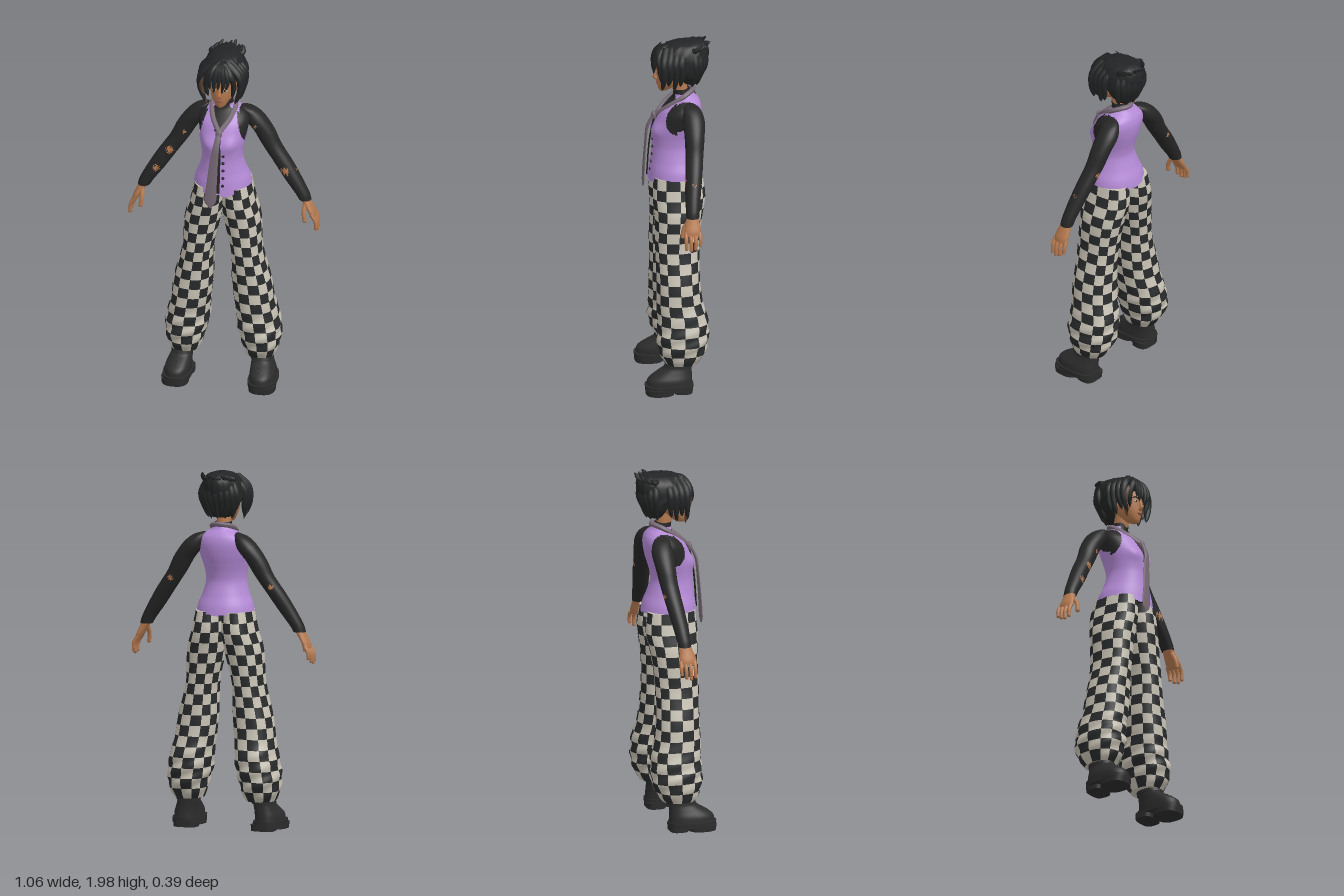
import * as THREE from 'three';

const mat = (name, color, side = THREE.FrontSide) =>
  Object.assign(new THREE.MeshStandardMaterial({ color, side }), { name });
const M = {
  hair: mat('hair black', 0x232425),
  streak: mat('hair brown', 0x5c4538),
  skin: mat('skin', 0xb5794f),
  lips: mat('lips', 0x8a4f42),
  sleeve: mat('shirt black', 0x262626),
  vest: mat('vest lilac', 0xb48ad6, THREE.DoubleSide),
  tie: mat('tie mauve', 0x786a76),
  cream: mat('check cream', 0xc9c3b5),
  check: mat('check black', 0x282a2b),
  boot: mat('boot black', 0x2c2c2d),
};

// Smooth value of a ring [y, x, z, rx, rz] at height y
function ringAt(rings, y) {
  let k = 0;
  while (k < rings.length - 2 && y > rings[k + 1][0]) k++;
  const slope = (i, d) => {
    const a = rings[Math.max(i - 1, 0)], b = rings[Math.min(i + 1, rings.length - 1)];
    return (b[d] - a[d]) / (b[0] - a[0]);
  };
  const a = rings[k], b = rings[k + 1], h = b[0] - a[0], t = (y - a[0]) / h, t2 = t * t, t3 = t2 * t;
  return a.map((_, d) => (2 * t3 - 3 * t2 + 1) * a[d] + (t3 - 2 * t2 + t) * h * slope(k, d)
    + (3 * t2 - 2 * t3) * b[d] + (t3 - t2) * h * slope(k + 1, d));
}

// Skin over horizontal rings; pick(i, j, point) selects a material, or -1 for a gap
function loft(name, rings, mats, { seg = 32, steps = 32, p = 2, pick = () => 0, bulge = () => 1, caps = true } = {}) {
  const pos = [], lists = mats.map(() => []), v = new THREE.Vector3();
  const y0 = rings[0][0], y1 = rings[rings.length - 1][0];
  const point = (i, j) => v.fromArray(pos, (j * seg + i % seg) * 3);
  const pw = (c) => Math.sign(c) * Math.abs(c) ** (2 / p);
  for (let j = 0; j <= steps; j++) {
    const [y, x, z, rx, rz] = ringAt(rings, y0 + (y1 - y0) * j / steps);
    for (let i = 0; i < seg; i++) {
      const t = i / seg * Math.PI * 2, b = bulge(t, y);
      pos.push(x + pw(Math.cos(t)) * rx * b, y, z + pw(Math.sin(t)) * rz * b);
    }
  }
  for (let j = 0; j < steps; j++) for (let i = 0; i < seg; i++) {
    const m = pick(i, j, point(i, j));
    if (m < 0) continue;
    const a = j * seg + i, b = j * seg + (i + 1) % seg, c = a + seg, d = b + seg;
    lists[m].push(a, c, b, b, c, d);
  }
  if (caps) for (const j of [0, steps]) {
    const base = pos.length / 3, r = rings[j ? rings.length - 1 : 0];
    for (let i = 0; i < seg; i++) pos.push(...point(i, j).toArray());
    pos.push(r[1], r[0], r[2]);
    for (let i = 0; i < seg; i++) {
      const a = base + i, b = base + (i + 1) % seg;
      lists[0].push(base + seg, j ? b : a, j ? a : b);
    }
  }
  const g = new THREE.BufferGeometry();
  g.setAttribute('position', new THREE.Float32BufferAttribute(pos, 3));
  g.setIndex(lists.flat());
  let start = 0;
  lists.forEach((l, m) => { g.addGroup(start, l.length, m); start += l.length; });
  g.computeVertexNormals();
  const mesh = new THREE.Mesh(g, mats);
  mesh.name = name;
  return mesh;
}

// Tapering strand along a smooth path
function strand(name, pts, r, material, width = (u) => Math.sqrt(Math.max(0, 1 - u * u)), seg = 14) {
  const curve = new THREE.CatmullRomCurve3(pts.map((q) => new THREE.Vector3(...q)));
  const g = new THREE.TubeGeometry(curve, seg, r, 8), p = g.attributes.position, v = new THREE.Vector3();
  for (let i = 0; i < p.count; i++) {
    const u = Math.floor(i / 9) / seg, c = curve.getPointAt(u);
    v.fromBufferAttribute(p, i).sub(c).multiplyScalar(width(u)).add(c);
    p.setXYZ(i, v.x, v.y, v.z);
  }
  g.computeVertexNormals();
  const mesh = new THREE.Mesh(g, material);
  mesh.name = name;
  return mesh;
}

function ball(name, material, [x, y, z], [sx, sy, sz]) {
  const mesh = new THREE.Mesh(new THREE.SphereGeometry(1, 14, 10), material);
  mesh.position.set(x, y, z);
  mesh.scale.set(sx, sy, sz);
  mesh.name = name;
  return mesh;
}

const flip = (rings, s) => rings.map(([y, x, ...rest]) => [y, x * s, ...rest]);

export function createModel() {
  const root = new THREE.Group();
  root.name = 'figure';
  const add = (...m) => root.add(...m);

  // Shirt body, and the vest as a cut-out shell just outside it
  const torso = [[1.165, 0, -0.005, 0.158, 0.15], [1.24, 0, -0.002, 0.146, 0.138], [1.3, 0, 0.005, 0.122, 0.122],
    [1.37, 0, 0.012, 0.106, 0.109], [1.42, 0, 0.01, 0.109, 0.112], [1.47, 0, 0.002, 0.12, 0.118],
    [1.52, 0, -0.014, 0.132, 0.116], [1.58, 0, -0.032, 0.14, 0.106], [1.62, 0, -0.048, 0.122, 0.084],
    [1.645, 0, -0.052, 0.085, 0.065], [1.665, 0, -0.045, 0.054, 0.053], [1.7, 0, -0.035, 0.046, 0.046]];
  const bust = (t, y) => 1 + [-0.48, 0.48].reduce((n, o) =>
    n + 0.1 * Math.exp(-(((t - Math.PI / 2 + o) / 0.34) ** 2) - ((y - 1.475) / 0.045) ** 2), 0);
  add(loft('shirt', torso.slice(1), [M.sleeve], { seg: 48, steps: 48, bulge: bust }));
  const vestRings = torso.map(([y, x, z, rx, rz]) => [y, x, z, rx + 0.007, rz + 0.007]);
  const inVest = (i, j, { x, y, z }) => {
    const ax = Math.abs(x), front = z > 0.0;
    if (y < (z > 0.05 ? 1.172 + Math.abs(ax - 0.05) * 0.3 : 1.19 + ax * 0.1)) return -1;
    if (y > 1.45 && ax > 0.142 - (y - 1.45) * 0.26 - (front ? 0.01 : 0)) return -1;
    if (front && y > 1.5 && ax < (y - 1.5) * 0.46) return -1;
    return y > 1.675 ? -1 : 0;
  };
  add(loft('vest', vestRings, [M.vest], { seg: 120, steps: 100, bulge: bust, pick: inVest, caps: false }));
  for (let k = 0; k < 5; k++) {
    const y = 1.24 + k * 0.044, r = ringAt(vestRings, y);
    add(ball('vestButton', M.sleeve, [0.026, y, r[2] + r[4] * 0.975], [0.009, 0.009, 0.006]));
  }

  // Tie: a loop round the collar, a knot and two hanging ends
  add(strand('tieLoop', [[0, 1.55, 0.108], [0.05, 1.615, 0.038], [0.062, 1.675, -0.05], [0, 1.692, -0.1],
    [-0.062, 1.675, -0.05], [-0.05, 1.615, 0.038], [0, 1.55, 0.108]], 0.014, M.tie, () => 1, 48));
  add(ball('tieKnot', M.tie, [0, 1.545, 0.115], [0.019, 0.026, 0.015]));
  add(loft('tieBlade', [[1.115, -0.038, 0.171, 0.004, 0.004], [1.15, -0.038, 0.17, 0.032, 0.006], [1.25, -0.03, 0.167, 0.029, 0.006],
    [1.4, -0.018, 0.158, 0.023, 0.006], [1.48, -0.008, 0.15, 0.018, 0.008], [1.55, 0, 0.118, 0.013, 0.009]], [M.tie], { seg: 16 }));
  add(loft('tieTail', [[1.2, 0.002, 0.155, 0.01, 0.004], [1.4, 0.002, 0.14, 0.012, 0.004], [1.54, 0, 0.112, 0.01, 0.006]],
    [M.sleeve], { seg: 12 }));

  // Trousers: checks are blocks of grid cells
  const leg = [[0.165, 0.21, -0.01, 0.078, 0.088], [0.2, 0.211, -0.012, 0.095, 0.112], [0.27, 0.209, -0.016, 0.111, 0.137],
    [0.33, 0.2, -0.018, 0.117, 0.142], [0.42, 0.188, -0.018, 0.113, 0.138], [0.5, 0.175, -0.005, 0.11, 0.127],
    [0.6, 0.163, 0, 0.108, 0.121], [0.8, 0.136, 0.004, 0.087, 0.12], [1, 0.108, -0.006, 0.099, 0.132],
    [1.1, 0.088, -0.012, 0.09, 0.143], [1.21, 0.077, -0.01, 0.076, 0.135]];
  const folds = (t, y) => 1 + 0.035 * Math.exp(-(((y - 0.3) / 0.13) ** 2)) * Math.sin(3 * t + y * 75)
    + 0.01 * Math.sin(2 * t + y * 22);
  for (const s of [1, -1]) {
    add(loft(s > 0 ? 'leftTrouserLeg' : 'rightTrouserLeg', flip(leg, s), [M.cream, M.check], {
      seg: 60, steps: 108, p: 2.3, bulge: folds,
      pick: (i, j) => (Math.floor(i / 5) + Math.floor(j / 6)) % 2,
    }));
  }

  // Boots: two-part tread, welt, upper and straps
  for (const s of [1, -1]) {
    const boot = new THREE.Group();
    boot.name = s > 0 ? 'leftBoot' : 'rightBoot';
    const part = (name, rings, p = 2.5, steps = 8) => boot.add(loft(name, flip(rings, s), [M.boot], { p, steps, seg: 36 }));
    part('heelTread', [[0, 0.227, -0.015, 0.066, 0.052], [0.035, 0.227, -0.015, 0.068, 0.054]], 3.2, 2);
    part('frontTread', [[0, 0.242, 0.113, 0.073, 0.078], [0.035, 0.242, 0.114, 0.076, 0.08]], 2.6, 2);
    part('welt', [[0.024, 0.237, 0.062, 0.078, 0.132], [0.052, 0.237, 0.062, 0.079, 0.133]], 2.7, 2);
    part('upper', [[0.05, 0.237, 0.06, 0.072, 0.127], [0.085, 0.235, 0.056, 0.07, 0.121], [0.115, 0.229, 0.036, 0.063, 0.1],
      [0.15, 0.222, 0.009, 0.057, 0.073], [0.22, 0.218, -0.003, 0.056, 0.066]], 2.3, 24);
    part('ankleStrap', [[0.148, 0.222, 0.009, 0.062, 0.078], [0.168, 0.221, 0.004, 0.061, 0.074]], 2.3, 3);
    for (let k = 0; k < 3; k++) {
      const y = 0.1 + k * 0.017, z = 0.142 - k * 0.027;
      boot.add(strand('lace', [[s * 0.19, y - 0.012, z - 0.03], [s * 0.23, y + 0.006, z], [s * 0.27, y - 0.012, z - 0.03]],
        0.007, M.boot, () => 1));
    }
    add(boot);
  }

  // Arms with worn patches on the sleeves, then hands
  const arm = [[1.115, 0.45, -0.042, 0.034, 0.036], [1.15, 0.434, -0.044, 0.04, 0.038], [1.23, 0.383, -0.052, 0.049, 0.043],
    [1.32, 0.325, -0.064, 0.053, 0.047], [1.42, 0.256, -0.076, 0.054, 0.05], [1.5, 0.212, -0.082, 0.059, 0.055],
    [1.56, 0.168, -0.084, 0.063, 0.06], [1.6, 0.142, -0.082, 0.054, 0.053], [1.63, 0.118, -0.075, 0.035, 0.04],
    [1.642, 0.1, -0.07, 0.015, 0.02]];
  const wear = { 1: [[0.345, 1.28, -0.01, 0.021], [0.18, 1.53, -0.03, 0.013], [0.28, 1.38, -0.12, 0.014], [0.39, 1.27, -0.06, 0.014]],
    '-1': [[-0.3, 1.345, -0.02, 0.02], [-0.375, 1.23, -0.01, 0.017], [-0.22, 1.46, -0.03, 0.01], [-0.31, 1.36, -0.11, 0.013]] };
  for (const s of [1, -1]) {
    const side = s > 0 ? 'left' : 'right';
    add(loft(side + 'Sleeve', flip(arm, s), [M.sleeve, M.skin], { seg: 48, steps: 90,
      pick: (i, j, v) => (wear[s].some(([x, y, z, r]) =>
        Math.hypot(v.x - x, v.y - y, v.z - z) < r * (1 + 0.4 * Math.sin(i * 2.1 + j * 1.3))) ? 1 : 0) }));
    const hand = new THREE.Group();
    hand.name = side + 'Hand';
    hand.add(loft('palm', flip([[1.025, 0.498, -0.036, 0.014, 0.038], [1.05, 0.488, -0.037, 0.02, 0.044],
      [1.09, 0.467, -0.039, 0.023, 0.039], [1.14, 0.44, -0.043, 0.028, 0.029]], s), [M.skin], { seg: 20, steps: 14 }));
    const round = (u) => (u > 0.88 ? Math.sqrt(Math.max(0, 1 - ((u - 0.88) / 0.12) ** 2)) : 1 - u * 0.2);
    for (let k = 0; k < 4; k++) {
      const z = 0.001 - k * 0.025, l = [0.92, 1, 0.93, 0.75][k];
      hand.add(strand('finger', [[s * 0.489, 1.045, z], [s * (0.49 + 0.027 * l), 1.045 - 0.05 * l, z * 1.05],
        [s * (0.49 + 0.032 * l), 1.045 - 0.107 * l, z]], 0.0115, M.skin, round));
    }
    hand.add(strand('thumb', [[s * 0.455, 1.1, -0.02], [s * 0.452, 1.05, 0.008], [s * 0.46, 0.995, 0.017]], 0.0135, M.skin, round));
    add(hand);
  }

  // Neck, head and face
  add(loft('neck', [[1.66, 0, -0.035, 0.04, 0.04], [1.78, 0, -0.015, 0.04, 0.043]], [M.skin], { seg: 24, steps: 4 }));
  add(loft('head', [[1.69, 0, 0.068, 0.012, 0.014], [1.7, 0, 0.06, 0.027, 0.03], [1.74, 0, 0.033, 0.053, 0.066],
    [1.79, 0, 0.012, 0.068, 0.09], [1.85, 0, 0, 0.074, 0.1], [1.92, 0, -0.01, 0.06, 0.08], [1.95, 0, -0.01, 0.02, 0.03]],
  [M.skin], { seg: 32, steps: 40 }));
  add(strand('nose', [[0, 1.825, 0.098], [0, 1.795, 0.106], [0, 1.773, 0.112], [0, 1.762, 0.095]], 0.011, M.skin,
    (u) => 0.55 + 0.45 * u));
  add(ball('mouth', M.lips, [0, 1.738, 0.098], [0.019, 0.007, 0.006]));
  for (const s of [1, -1]) {
    add(ball('eyeWhite', M.cream, [s * 0.03, 1.805, 0.093], [0.014, 0.007, 0.006]));
    add(ball('iris', M.hair, [s * 0.03, 1.805, 0.096], [0.006, 0.007, 0.005]));
    add(strand('brow', [[s * 0.014, 1.823, 0.099], [s * 0.032, 1.83, 0.093], [s * 0.05, 1.822, 0.078]], 0.004, M.hair));
    add(ball('ear', M.skin, [s * 0.074, 1.79, -0.005], [0.01, 0.027, 0.017]));
  }

  // Hair: swept-back mass, then locks
  const waves = (t, y) => 1 + 0.018 * Math.sin(11 * t + y * 30) + 0.012 * Math.sin(19 * t - y * 20);
  add(loft('hairMass', [[1.735, 0, -0.085, 0.055, 0.04], [1.78, 0, -0.082, 0.098, 0.065], [1.82, 0, -0.074, 0.113, 0.09],
    [1.86, 0, -0.045, 0.117, 0.132], [1.9, 0, -0.045, 0.113, 0.14], [1.94, 0, -0.054, 0.096, 0.128],
    [1.968, 0.005, -0.064, 0.066, 0.1], [1.98, 0.008, -0.075, 0.03, 0.06]], [M.hair], { seg: 64, steps: 44, bulge: waves }));
  const lock = (pts, r, m = M.hair) => add(strand('hairLock', pts, r, m));
  for (const s of [1, -1]) {
    for (let k = 0; k < 4; k++) {
      const z = 0.07 - k * 0.032;
      lock([[s * 0.04, 1.945, z - 0.02], [s * (0.102 + k * 0.004), 1.885, z], [s * (0.112 + k * 0.002), 1.81, z],
        [s * (0.082 + 0.008 * k), 1.72 + (k % 2) * 0.025, z + 0.01]], 0.024);
    }
    lock([[s * 0.02, 1.945, 0.06], [s * 0.06, 1.9, 0.094], [s * 0.078, 1.84, 0.09], [s * 0.066, 1.755, 0.08]], 0.02);
  }
  lock([[-0.06, 1.89, 0.08], [-0.1, 1.84, 0.085], [-0.1, 1.78, 0.075], [-0.075, 1.7, 0.07]], 0.016, M.streak);
  for (let k = 0; k < 5; k++) {
    const x = -0.05 + k * 0.025;
    lock([[0.01, 1.955, 0.02], [x * 0.7, 1.925, 0.09], [x, 1.87, 0.115], [x * 0.9 - 0.006, 1.815 - (k % 2) * 0.02, 0.118]], 0.017);
  }
  for (let k = 0; k < 9; k++) {
    const a = (k - 4) * 0.27, x = Math.sin(a), c = Math.cos(a);
    lock([[x * 0.05, 1.95, -0.08], [x * 0.1, 1.945, -0.06 - c * 0.09], [x * 0.09 + 0.01, 1.96 + (k % 3) * 0.01, -0.07 - c * 0.125]], 0.017);
    lock([[x * 0.08, 1.93, -0.06 - c * 0.08], [x * 0.116, 1.86, -0.05 - c * 0.115], [x * 0.1, 1.79, -0.05 - c * 0.095],
      [x * 0.075, 1.725 + (k % 2) * 0.02, -0.05 - c * 0.075]], 0.022);
  }
  return root;
}
